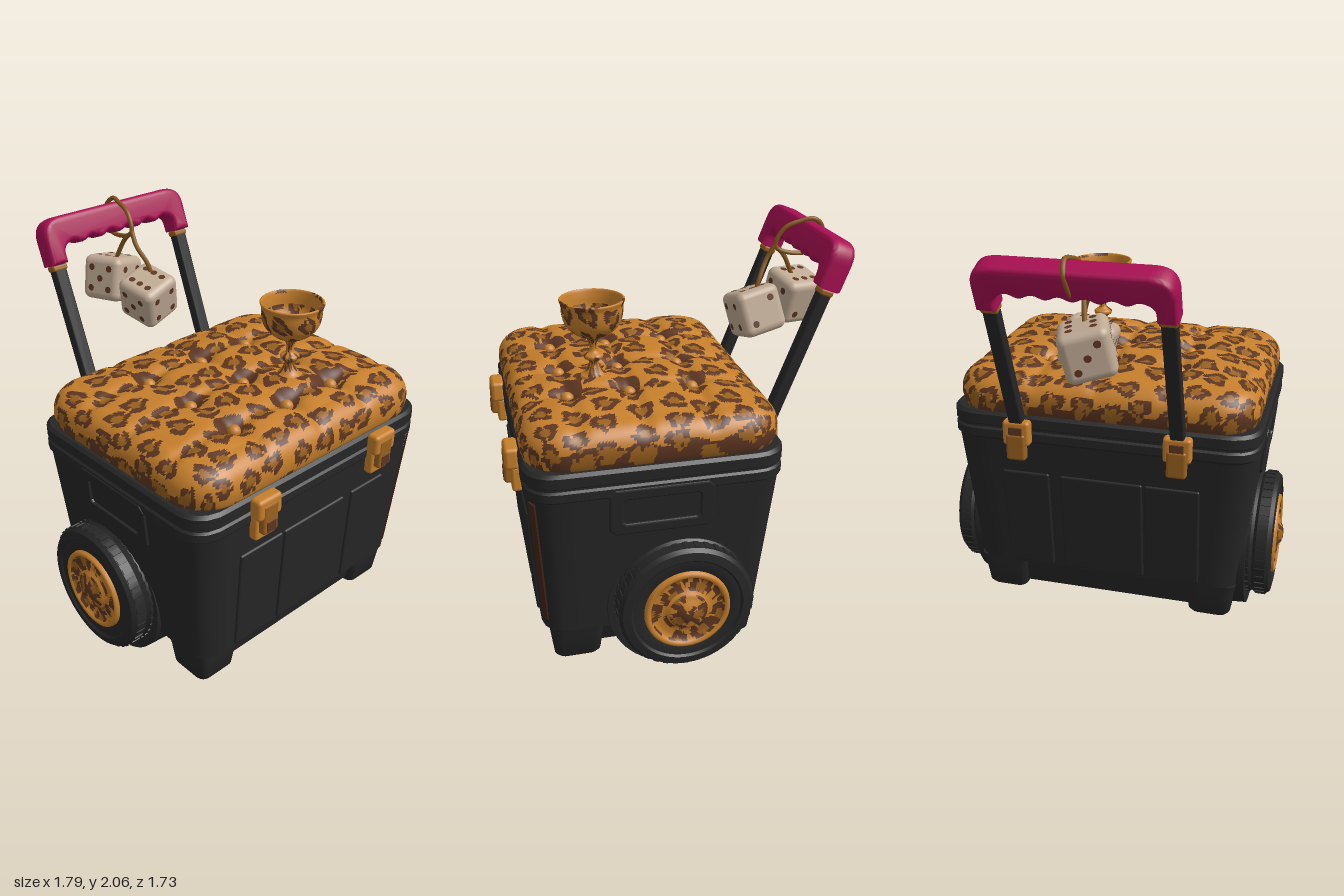
import * as THREE from 'three';
import { mergeGeometries, toCreasedNormals } from 'three/addons/utils/BufferGeometryUtils.js';
import { RoundedBoxGeometry } from 'three/addons/geometries/RoundedBoxGeometry.js';

const mat = (name, color) => Object.assign(new THREE.MeshStandardMaterial({ color }), { name });
const black = mat('black plastic', 0x262626), gold = mat('gold', 0xc67f2b), bronze = mat('dark gold', 0x9a611f);
const brown = mat('spot brown', 0x5e3621), pink = mat('magenta grip', 0xa80f52), ivory = mat('ivory', 0xc0ab95);
const ropeMat = mat('rope', 0x85581f), rust = mat('rust', 0x43231a);
const spotted = [gold, bronze, brown];
const clamp = THREE.MathUtils.clamp, PI = Math.PI;

function add(parent, name, geo, material, x = 0, y = 0, z = 0) {
  const m = new THREE.Mesh(geo, material);
  m.name = name;
  m.position.set(x, y, z);
  parent.add(m);
  return m;
}
const rbox = (w, h, d, r = 0.015) => new RoundedBoxGeometry(w, h, d, 3, r);

// Skin over stacked rounded rectangles: rings of [y, halfX, halfZ, radius, centreZ, centreX]
function loft(rings, n = 96) {
  const pos = [], idx = [];
  for (const [y, hx, hz, r, cz = 0, cx = 0] of rings) {
    for (let j = 0; j < n; j++) {
      const s = j * 4 / n, k = Math.floor(s), f = (s - k) * 2 - 1;
      const [px, pz] = [[hx, f * hz], [-f * hx, hz], [-hx, -f * hz], [f * hx, -hz]][k];
      const ix = clamp(px, r - hx, hx - r), iz = clamp(pz, r - hz, hz - r);
      const l = r / (Math.hypot(px - ix, pz - iz) || 1);
      pos.push(cx + ix + (px - ix) * l, y, cz + iz + (pz - iz) * l);
    }
  }
  for (let i = 0; i < rings.length - 1; i++) {
    for (let j = 0; j < n; j++) {
      const a = i * n + j, b = i * n + (j + 1) % n;
      idx.push(a, a + n, b, b, a + n, b + n);
    }
  }
  const g = new THREE.BufferGeometry();
  g.setAttribute('position', new THREE.Float32BufferAttribute(pos, 3));
  g.setIndex(idx);
  g.computeVertexNormals();
  return g;
}
// Closed loft: adds a point cap at both ends
function solid(rings, n) {
  const cap = ([y, , , , cz, cx]) => [y, 0.001, 0.001, 0.0005, cz, cx];
  return toCreasedNormals(loft([cap(rings[0]), ...rings, cap(rings.at(-1))], n), 0.6);
}

// Sorts triangles into colour groups by a rule on their centre
function paint(g, rule) {
  const p = g.attributes.position, id = g.index.array, bins = [[], [], []];
  for (let i = 0; i < id.length; i += 3) {
    const t = [id[i], id[i + 1], id[i + 2]];
    const mid = f => (p[f](t[0]) + p[f](t[1]) + p[f](t[2])) / 3;
    bins[rule(mid('getX'), mid('getY'), mid('getZ'))].push(...t);
  }
  g.setIndex(bins.flat());
  let start = 0;
  bins.forEach((b, k) => { g.addGroup(start, b.length, k); start += b.length; });
  return g;
}
const hash = (a, b, c) => { const v = Math.sin(a * 127.1 + b * 311.7 + c * 74.7) * 43758.5453; return v - Math.floor(v); };

// Rosettes on jittered, staggered cells: 0 ground, 1 spot centre, 2 spot ring
function leopard(u, v, cell = 0.155, size = 1) {
  let best = 9, ang = 0, seed = 0;
  const row = Math.floor(v / cell);
  for (let j = row - 1; j <= row + 1; j++) {
    const shift = (j & 1) * 0.5, col = Math.floor(u / cell - shift);
    for (let i = col - 1; i <= col + 1; i++) {
      const dx = u / cell - (i + shift + 0.5 + (hash(i, j, 1) - 0.5) * 0.35);
      const dy = v / cell - (j + 0.5 + (hash(i, j, 2) - 0.5) * 0.35), d = Math.hypot(dx, dy);
      if (d < best) { best = d; ang = Math.atan2(dy, dx); seed = hash(i, j, 3) * 6.28; }
    }
  }
  const r = best / size * (1 + 0.13 * Math.sin(3 * ang + seed) + 0.08 * Math.sin(5 * ang + seed * 2));
  return r < 0.18 ? 1 : r < 0.385 && Math.sin(ang * 2 + seed) > -0.96 ? 2 : 0;
}

const buttonX = [-0.33, 0.02, 0.335], buttonZ = [-0.09, 0.22, 0.52], CZ = 0.167;

function makeCushion(g) {
  const rings = [[1.07, 0.73, 0.575, 0.18, CZ], [1.09, 0.755, 0.595, 0.2, CZ], [1.12, 0.765, 0.605, 0.21, CZ], [1.15, 0.77, 0.61, 0.21, CZ]];
  for (let i = 0; i <= 14; i++) {
    const a = i / 14 * PI / 2, c = 0.12 * (1 - Math.cos(a));
    rings.push([1.17 + 0.12 * Math.sin(a), 0.77 - c, 0.61 - c, 0.21 - c, CZ]);
  }
  for (let i = 1; i <= 64; i++) {
    const k = Math.max(1 - i / 64, 0.001);
    rings.push([1.29 + 0.042 * (1 - k ** 4), 0.65 * k, 0.49 * k, 0.09 * k, CZ]);
  }
  const geo = loft(rings, 320), p = geo.attributes.position;
  // Tufting: dips at the buttons, shallow seams between them
  for (let i = 0; i < p.count; i++) {
    const x = p.getX(i), y = p.getY(i), z = p.getZ(i), w = clamp((y - 1.2) / 0.09, 0, 1);
    let dip = 0;
    for (const b of buttonX) dip += 0.018 * Math.exp(-(((x - b) / 0.035) ** 2));
    for (const b of buttonZ) dip += 0.018 * Math.exp(-(((z - b) / 0.035) ** 2));
    for (const a of buttonX) for (const b of buttonZ) dip += 0.035 * Math.exp(-((x - a) ** 2 + (z - b) ** 2) / 0.006);
    p.setY(i, y - dip * w);
  }
  geo.computeVertexNormals();
  paint(geo, (x, y, z) => {
    const dx = x - clamp(x, -0.56, 0.56), dz = z - CZ - clamp(z - CZ, -0.4, 0.4), l = Math.hypot(dx, dz) || 1;
    const drop = Math.max(0, 1.28 - y), u = x + dx / l * drop, v = z + dz / l * drop;
    const spot = leopard(u, v), wob = 0.02 * Math.sin(u * 31) + 0.02 * Math.sin(v * 27 + 1);
    if (z < 0.66 && y < 1.18 + wob) return spot === 0 ? 2 : 1;
    if (y > 1.24) for (const a of buttonX) for (const b of buttonZ)
      if (Math.hypot(x - a, (z - b + 0.02) * 1.3) < 0.075 + wob) return 2;
    return spot;
  });
  add(g, 'cushion', geo, spotted);
  for (const x of buttonX) for (const z of buttonZ)
    add(g, 'cushionButton', new THREE.SphereGeometry(0.032, 16, 10), gold, x, 1.268, z);
}

function makeBody(g) {
  add(g, 'body', solid([[0.19, 0.68, 0.515, 0.1, 0.183], [0.21, 0.71, 0.543, 0.12, 0.183], [0.97, 0.776, 0.6, 0.13, CZ]]), black);
  add(g, 'lidRim', solid([[0.95, 0.77, 0.6, 0.13, CZ], [0.965, 0.787, 0.612, 0.14, CZ], [1.005, 0.787, 0.612, 0.14, CZ], [1.015, 0.777, 0.602, 0.13, CZ],
    [1.025, 0.777, 0.602, 0.13, CZ], [1.035, 0.79, 0.615, 0.15, CZ], [1.085, 0.79, 0.615, 0.15, CZ], [1.1, 0.775, 0.6, 0.14, CZ]]), black);
  add(g, 'base', solid([[0.05, 0.6, 0.46, 0.06, 0.175], [0.2, 0.65, 0.5, 0.08, 0.175]]), black);
  for (const x of [-0.56, 0.56]) for (const z of [0.56, -0.21])
    add(g, 'foot', solid([[0.015, 0.095, 0.1, 0.04], [0.035, 0.11, 0.115, 0.045], [0.15, 0.125, 0.13, 0.05], [0.21, 0.14, 0.135, 0.05]], 48), black, x, 0, z);
  // Pressed panels on front and back
  for (const [x, w] of [[-0.37, 0.28], [-0.005, 0.43], [0.39, 0.25]]) {
    add(g, 'frontPanel', rbox(w, 0.56, 0.03, 0.012), black, x, 0.5, 0.738).rotation.x = 0.054;
    add(g, 'backPanel', rbox(w, 0.56, 0.03, 0.012), black, x, 0.5, -0.382).rotation.x = -0.094;
  }
  // Side carry handles
  const rect = (S, w, h) => new S([[-1, -0.8], [-0.9, -1], [0.9, -1], [1, -0.8], [1, 0.8], [0.9, 1], [-0.9, 1], [-1, 0.8]].map(([a, b]) => new THREE.Vector2(a * w, b * h)));
  const frame = rect(THREE.Shape, 0.24, 0.115);
  frame.holes.push(rect(THREE.Path, 0.19, 0.075));
  const frameGeo = new THREE.ExtrudeGeometry(frame, { depth: 0.03, bevelSize: 0.008, bevelThickness: 0.008, bevelSegments: 2 });
  for (const s of [-1, 1])
    add(g, 'sideHandle', frameGeo, black, s * 0.745, 0.875, 0.16).rotation.set(0, s * PI / 2, -s * 0.087, 'ZYX');
  // Worn stripe down one front corner
  const a = new THREE.Vector3(0.655, 0.27, 0.712), b = new THREE.Vector3(0.716, 0.94, 0.75);
  const stripe = add(g, 'wornStripe', new THREE.BoxGeometry(0.045, a.distanceTo(b), 0.009), rust);
  stripe.position.lerpVectors(a, b, 0.5);
  stripe.quaternion.setFromUnitVectors(new THREE.Vector3(0, 1, 0), b.clone().sub(a).normalize());
  stripe.rotateY(PI / 6);
}

function makeWheel(s) {
  const w = new THREE.Group();
  w.name = s > 0 ? 'leftWheel' : 'rightWheel';
  w.position.set(0, 0.345, 0.055);
  w.rotation.z = -s * PI / 2;
  const lathe = (pts, n = 64) => new THREE.LatheGeometry(pts.map(p => new THREE.Vector2(...p)), n);
  add(w, 'tyre', toCreasedNormals(lathe([[0, 0.66], [0.28, 0.66], [0.32, 0.675], [0.33, 0.7], [0.33, 0.75], [0.318, 0.765], [0.33, 0.78],
    [0.33, 0.835], [0.315, 0.855], [0.275, 0.862], [0.265, 0.852], [0.22, 0.852], [0.2, 0.84], [0, 0.83]]), 0.6), black);
  const treads = [];
  for (let i = 0; i < 40; i++) for (const h of [0.725, 0.808])
    treads.push(new THREE.BoxGeometry(0.012, 0.05, 0.026).translate(0.329, h, 0).rotateY(i * PI / 20));
  add(w, 'tread', mergeGeometries(treads), black);
  // Hub with raised lip, dish and pointed centre
  const profile = [[0.212, 0.84], [0.208, 0.864], [0.195, 0.87], [0.182, 0.862], [0.175, 0.848], [0.15, 0.846], [0.125, 0.85], [0.105, 0.854],
    [0.095, 0.868], [0.08, 0.872], [0.06, 0.878], [0.045, 0.888], [0.02, 0.894], [0.0005, 0.895]];
  add(w, 'hub', paint(lathe(profile, 80), (x, y, z) => {
    const r = Math.hypot(x, z);
    return r > 0.18 || (r > 0.09 && r < 0.105) ? 0 : [0, 1, 2][leopard(x + 3, z, 0.12, 1.25)];
  }), spotted);
  add(w, 'wheelArch', new THREE.CylinderGeometry(0.365, 0.375, 0.16, 64), black, s * 0.03, 0.655, 0);
  return w;
}

function makeClasps(g) {
  for (const x of [-0.405, 0.405]) {
    add(g, 'latchTop', rbox(0.15, 0.11, 0.07, 0.02), gold, x, 1.045, 0.808);
    add(g, 'latchBody', rbox(0.13, 0.13, 0.05, 0.015), gold, x, 0.935, 0.79);
    add(g, 'latchLever', rbox(0.095, 0.16, 0.05, 0.015), bronze, x, 0.99, 0.822);
    add(g, 'latchPatch', rbox(0.06, 0.06, 0.008, 0.003), brown, x, 0.95, 0.846);
    add(g, 'poleBracket', rbox(0.14, 0.13, 0.06, 0.018), gold, x, 1.02, -0.47);
    add(g, 'poleBracketFoot', rbox(0.1, 0.14, 0.05, 0.015), bronze, x, 0.95, -0.485);
    add(g, 'bracketPatch', rbox(0.07, 0.07, 0.008, 0.003), brown, x, 1.02, -0.502);
  }
}

function makeHandle() {
  const h = new THREE.Group();
  h.name = 'pullHandle';
  h.position.set(0, 1.08, -0.465);
  h.rotation.x = -0.37;
  for (const x of [-0.405, 0.405]) {
    add(h, 'pole', rbox(0.07, 0.88, 0.06, 0.01), black, x, 0.36, 0);
    add(h, 'poleClip', rbox(0.084, 0.03, 0.066, 0.01), bronze, x, 0.695, 0);
  }
  // Grip with finger waves on the underside
  const s = new THREE.Shape();
  s.moveTo(0.36, 0.71).lineTo(0.455, 0.71).lineTo(0.455, 0.84);
  s.bezierCurveTo(0.455, 0.91, 0.42, 0.945, 0.34, 0.945).lineTo(-0.34, 0.945);
  s.bezierCurveTo(-0.42, 0.945, -0.455, 0.91, -0.455, 0.84).lineTo(-0.455, 0.71).lineTo(-0.36, 0.71).lineTo(-0.36, 0.75);
  s.quadraticCurveTo(-0.36, 0.8, -0.3, 0.81);
  for (let i = 1; i <= 48; i++) s.lineTo(-0.3 + i / 80, 0.8 + 0.01 * Math.cos(i / 48 * PI * 10));
  s.quadraticCurveTo(0.36, 0.8, 0.36, 0.75);
  const geo = new THREE.ExtrudeGeometry(s, { depth: 0.07, bevelSize: 0.025, bevelOffset: -0.025, bevelThickness: 0.028, bevelSegments: 4, curveSegments: 10 });
  add(h, 'grip', toCreasedNormals(geo, 0.8), pink, 0, 0, -0.035);
  return h;
}

function makeDice(g) {
  const a = 0.055, corners = [[-a, -a], [a, a]], others = [[-a, a], [a, -a]];
  const pips = [[[0, 0]], corners, [[0, 0], ...corners], [...corners, ...others], [[0, 0], ...corners, ...others], [...corners, ...others, [-a, 0], [a, 0]]];
  const turns = [[PI / 2, 0], [0, PI / 2], [0, PI], [0, 0], [0, -PI / 2], [-PI / 2, 0]];
  for (const [p, r] of [[[0.015, 1.525, -0.505], [0.2, 0.15, 0.25]], [[-0.045, 1.58, -0.735], [-0.06, 0.3, -0.22]]]) {
    const die = new THREE.Group();
    die.name = 'die';
    die.position.set(...p);
    die.rotation.set(...r);
    add(die, 'dieBody', rbox(0.235, 0.235, 0.235, 0.04), ivory);
    turns.forEach(([rx, ry], k) => {
      const dots = pips[k].map(([x, y]) => new THREE.CircleGeometry(0.018, 10).translate(x, y, 0.119).rotateX(rx).rotateY(ry));
      add(die, 'pips', mergeGeometries(dots), brown);
    });
    g.add(die);
  }
  // Cord looped over the grip, with one strand to each die
  const cord = (pts, closed = false) => add(g, 'cord', new THREE.TubeGeometry(
    new THREE.CatmullRomCurve3(pts.map(p => new THREE.Vector3(...p)), closed), 48, 0.012, 8, closed), ropeMat);
  cord([[0.02, 1.975, -0.73], [0.03, 1.985, -0.8], [0.02, 1.93, -0.85], [0, 1.82, -0.8], [0, 1.81, -0.7], [0, 1.85, -0.61], [0.01, 1.94, -0.65]], true);
  cord([[0, 1.86, -0.61], [-0.005, 1.79, -0.57], [0.03, 1.69, -0.52], [0.04, 1.62, -0.5]]);
  cord([[0, 1.85, -0.61], [-0.01, 1.8, -0.66], [-0.03, 1.68, -0.72]]);
}

function makeGoblet(g) {
  const pts = [[0.085, 0], [0.08, 0.012], [0.05, 0.03], [0.03, 0.06], [0.024, 0.085], [0.045, 0.105], [0.047, 0.12], [0.022, 0.14], [0.02, 0.175],
    [0.035, 0.205], [0.09, 0.235], [0.132, 0.28], [0.147, 0.33], [0.15, 0.375], [0.157, 0.4], [0.148, 0.403], [0.138, 0.37], [0.128, 0.31],
    [0.095, 0.265], [0.05, 0.245], [0.0005, 0.24]];
  const curve = new THREE.CatmullRomCurve3(pts.map(([r, y]) => new THREE.Vector3(r, y, 0)));
  const geo = new THREE.LatheGeometry(curve.getPoints(100).map(p => new THREE.Vector2(Math.max(p.x, 0.0005), p.y)), 72);
  paint(geo, (x, y, z) => {
    const r = Math.hypot(x, z), inside = y > 0.238 && r < 0.15 && r < 0.1 + (y - 0.25) * 0.4 && r < 0.142;
    return inside ? 0 : leopard(Math.atan2(x, z) * 0.13 + y * 0.3, y * 0.8, 0.11, 0.95);
  });
  add(g, 'goblet', geo, spotted, 0.196, 1.307, 0.365);
}

export function createModel() {
  const g = new THREE.Group();
  g.name = 'wheeledCooler';
  makeBody(g);
  makeCushion(g);
  makeClasps(g);
  g.add(makeWheel(1), makeWheel(-1), makeHandle());
  makeDice(g);
  makeGoblet(g);
  return g;
}
